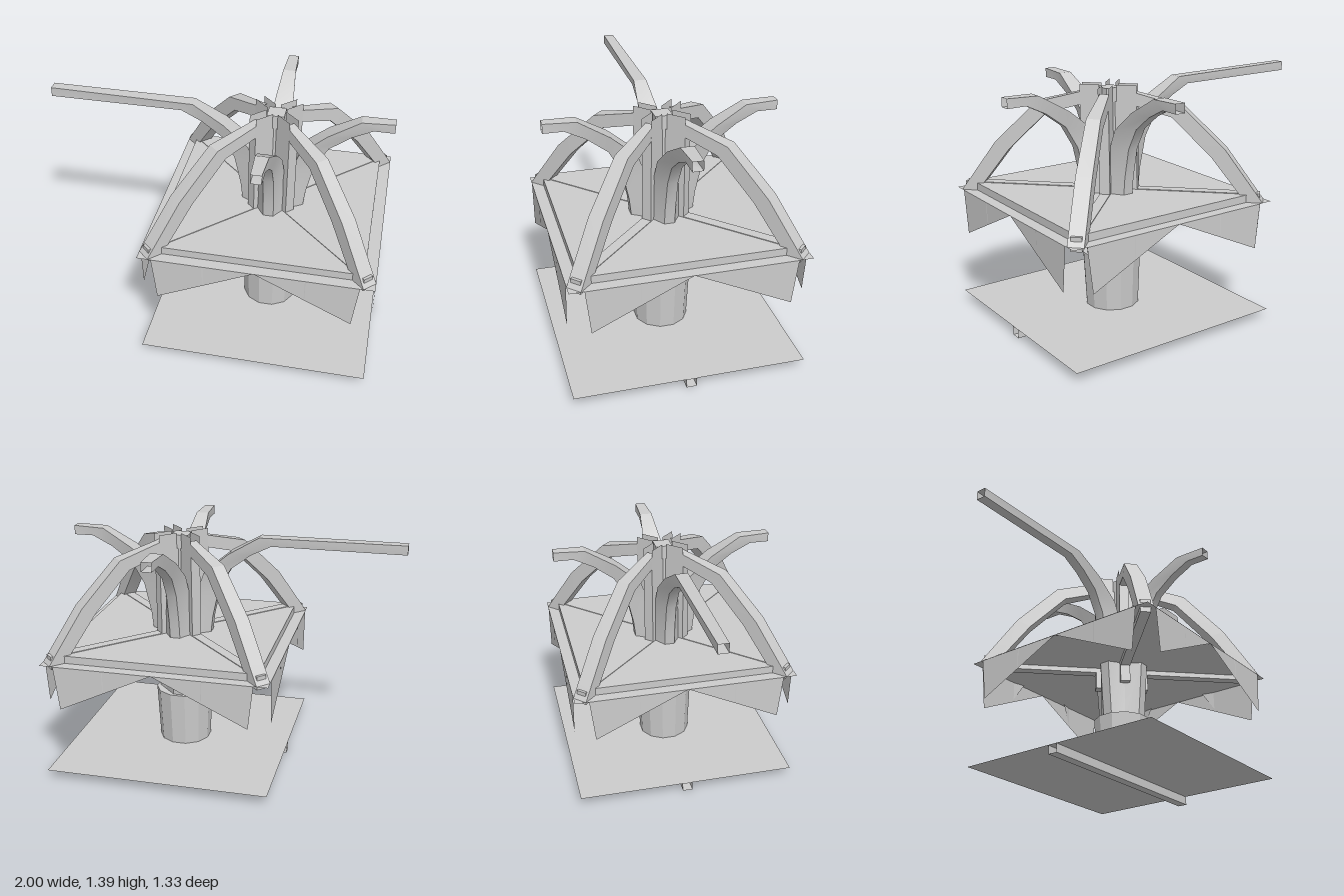
import * as THREE from 'three';
import { toCreasedNormals } from 'three/addons/utils/BufferGeometryUtils.js';

const material = new THREE.MeshStandardMaterial({ color: 0xcccccc, side: THREE.DoubleSide });

// Open four-sided tube. Each station: [outerR, outerY, outerHalfWidth, innerR, innerY, innerHalfWidth]
function loft(stations) {
  const pos = [], index = [];
  for (const [r, y, w, ri, yi, wi] of stations) pos.push(r, y, -w, r, y, w, ri, yi, wi, ri, yi, -wi);
  for (let i = 0; i < stations.length - 1; i++) {
    for (let k = 0; k < 4; k++) {
      const a = i * 4 + k, b = i * 4 + (k + 1) % 4;
      index.push(a, a + 4, b, b, a + 4, b + 4);
    }
  }
  const g = new THREE.BufferGeometry();
  g.setAttribute('position', new THREE.Float32BufferAttribute(pos, 3));
  g.setIndex(index);
  return toCreasedNormals(g, 0.5);
}

// Flat polygon from 3D corners, as a fan
function panel(...corners) {
  const g = new THREE.BufferGeometry();
  g.setAttribute('position', new THREE.Float32BufferAttribute(corners.flat(), 3));
  const index = [];
  for (let i = 1; i < corners.length - 1; i++) index.push(0, i, i + 1);
  g.setIndex(index);
  g.computeVertexNormals();
  return g;
}

export function createModel() {
  const model = new THREE.Group();
  const add = (name, geometry, angle = 0) => {
    const mesh = new THREE.Mesh(geometry, material);
    mesh.name = name;
    mesh.rotation.y = angle;
    model.add(mesh);
    return mesh;
  };
  const box = (x0, x1, y0, y1, z0, z1) =>
    new THREE.BoxGeometry(x1 - x0, y1 - y0, z1 - z0).translate((x0 + x1) / 2, (y0 + y1) / 2, (z0 + z1) / 2);
  const H = 0.667, DECK = 0.735;

  // Ground sheet with an open hollow beam beneath
  add('basePlate', new THREE.PlaneGeometry(2 * H, 2 * H).rotateX(-Math.PI / 2).translate(0, 0.055, 0));
  add('baseBeam', loft([-H, H].map(x => [x, 0, 0.03, x, 0.053, 0.03])));

  // Column foot and core
  add('columnSleeve', toCreasedNormals(
    new THREE.CylinderGeometry(0.175, 0.16, 0.335, 12).rotateY(Math.PI / 12).translate(0, 0.2225, 0), 0.4));
  add('columnCore', box(-0.05, 0.05, 0.4, 1.38, -0.05, 0.05));

  // Deck: thin flange, raised panel with clipped corners
  add('deckFlange', new THREE.PlaneGeometry(2 * H, 2 * H).rotateX(-Math.PI / 2).translate(0, DECK, 0));
  const outline = new THREE.Shape();
  const p = 0.6, c = 0.56;
  [[p, c], [c, p], [-c, p], [-p, c], [-p, -c], [-c, -p], [c, -p], [p, -c]].forEach(([x, y], i) =>
    i ? outline.lineTo(x, y) : outline.moveTo(x, y));
  add('deckPanel', new THREE.ExtrudeGeometry(outline, { depth: 0.045, bevelEnabled: false })
    .rotateX(-Math.PI / 2).translate(0, DECK, 0));

  // Trunk quarter that bends outward into a hollow arm of the given reach
  const arm = reach => loft([
    [0.15, 0.38, 0.03, 0.09, 0.38, 0.09],
    [0.18, 0.75, 0.03, 0.09, 0.75, 0.09],
    [0.195, 0.88, 0.03, 0.09, 0.88, 0.085],
    [0.235, 1.06, 0.03, 0.1, 1.02, 0.075],
    [0.31, 1.19, 0.03, 0.15, 1.16, 0.065],
    [0.43, 1.28, 0.03, 0.3, 1.285, 0.055],
    [0.55, 1.34, 0.03, 0.48, 1.39, 0.038],
    [reach, 1.34, 0.03, reach, 1.395, 0.03],
  ]);

  // Arched rib running from the column head to a deck corner
  const d = Math.SQRT2;
  const rib = loft([
    [0.09 * d, 1.36, 0.027, 0.08 * d, 1.29, 0.027],
    [0.30 * d, 1.285, 0.04, 0.26 * d, 1.22, 0.04],
    [0.48 * d, 1.04, 0.045, 0.42 * d, 1.0, 0.045],
    [0.61 * d, 0.785, 0.045, 0.54 * d, 0.78, 0.045],
    [0.635 * d, DECK, 0.045, 0.56 * d, DECK, 0.045],
  ]);

  for (let i = 0; i < 4; i++) {
    const side = i * Math.PI / 2, corner = side + Math.PI / 4;
    add('arm', arm(i === 2 ? 1.333 : H), side);
    add('rib', rib, corner);
    add('diagonalBeam', box(0, 0.88, 0.705, 0.784, -0.03, 0.03), corner);

    // Diagonal post with two upright cheeks holding the rib
    add('columnPost', box(0, 0.165, 0.6, 1.3, -0.03, 0.03), corner);
    for (const s of [-1, 1]) {
      const z = s * 0.03;
      add('postCheek', panel([0.05, 1.2, z], [0.165, 1.2, z], [0.165, 1.395, z], [0.05, 1.395, z]), corner);
      // Hanging skirt, deepest near the corner, with a small bracket behind
      add('skirt', panel([H - 0.001, DECK, 0], [H - 0.001, DECK, s * 0.585], [H - 0.001, 0.47, s * 0.555]), side);
      add('skirtBracket', panel([H, DECK, s * 0.29], [H, 0.61, s * 0.29], [H - 0.02, DECK, s * 0.21]), side);
    }
  }

  model.position.x = 0.333;
  const root = new THREE.Group();
  root.name = 'pavilion';
  model.name = 'structure';
  root.add(model);
  return root;
}
